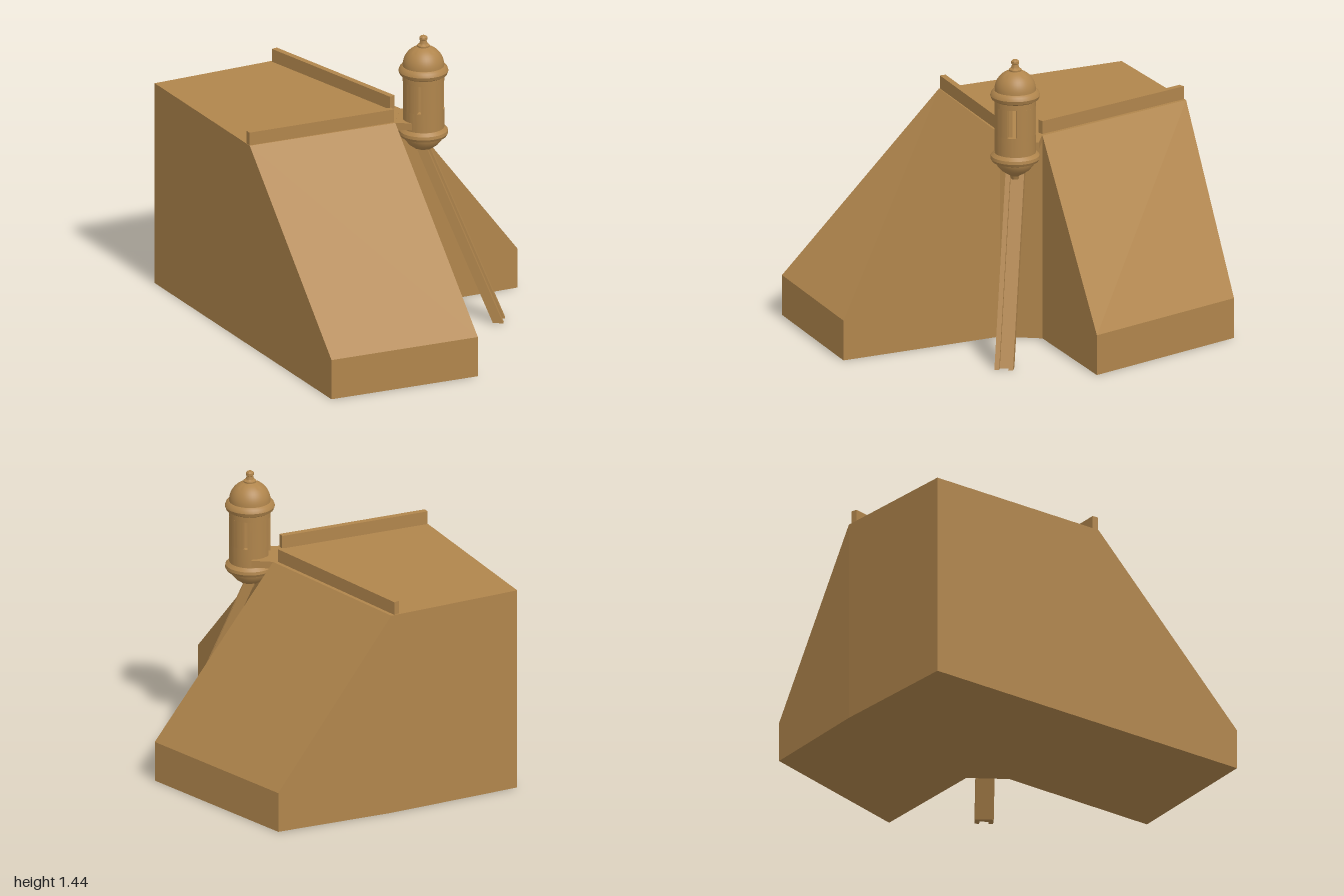
import * as THREE from 'three';
import { toCreasedNormals } from 'three/addons/utils/BufferGeometryUtils.js';

const TOP = 1.02, LOW = 0.2;
const stone = new THREE.MeshStandardMaterial({ color: 0xb0854c });
stone.name = 'sandstone';

function add(parent, name, geometry) {
  const mesh = new THREE.Mesh(geometry, stone);
  mesh.name = name;
  parent.add(mesh);
  return mesh;
}

// Plan corners: [x, z, wall height]
const plan = {
  A: [-1, 0.34, TOP], B: [-0.07, 0.625, TOP], C: [0.73, 0.87, LOW],
  D: [1, 0.15, LOW], E: [0.2, -0.09, TOP], F: [0.07, -0.25, TOP],
  G: [0.27, -0.845, LOW], H: [-0.605, -0.87, LOW], I: [-0.81, -0.315, TOP],
};

// Closed body: vertical walls around the plan, flat roof, two sloping roofs and a base
function bastionGeometry() {
  const pos = [];
  const hi = (k) => [plan[k][0], plan[k][2], plan[k][1]];
  const lo = (k) => [plan[k][0], 0, plan[k][1]];
  const fan = (pts) => {
    for (let i = 1; i < pts.length - 1; i++) pos.push(...pts[0], ...pts[i], ...pts[i + 1]);
  };
  const loop = [...'ABCDEFGHI'];
  loop.forEach((p, i) => {
    const q = loop[(i + 1) % loop.length];
    fan([lo(p), lo(q), hi(q), hi(p)]);
  });
  for (const face of ['ABEFI', 'BCDE', 'IFGH']) {
    fan([...face].map(hi));
    fan([...face].reverse().map(lo));
  }
  const g = new THREE.BufferGeometry();
  g.setAttribute('position', new THREE.Float32BufferAttribute(pos, 3));
  g.computeVertexNormals();
  return g;
}

// Low wall from p to q, set in from the roof edge on its left side
function parapet(parent, name, p, q, inset, width = 0.03) {
  const dx = q[0] - p[0], dz = q[1] - p[1], len = Math.hypot(dx, dz);
  const off = (inset + width / 2) / len;
  const wall = add(parent, name, new THREE.BoxGeometry(len, 0.065, width));
  wall.position.set((p[0] + q[0]) / 2 + dz * off, TOP + 0.0325, (p[1] + q[1]) / 2 - dx * off);
  wall.rotation.y = Math.atan2(-dz, dx);
}

// Curved piece of the turret wall between two angles
function wallArc(a0, a1, y0, y1) {
  const s = new THREE.Shape();
  s.absarc(0, 0, 0.1, a0, a1, false);
  s.absarc(0, 0, 0.078, a1, a0, true);
  const g = new THREE.ExtrudeGeometry(s, { depth: y1 - y0, bevelEnabled: false, curveSegments: 14 });
  g.rotateX(-Math.PI / 2).translate(0, y0, 0);
  return toCreasedNormals(g, 0.6);
}

function lathe(points) {
  const g = new THREE.LatheGeometry(points.map(([r, y]) => new THREE.Vector2(r, y)), 40);
  return toCreasedNormals(g, 0.6);
}

function buildTurret() {
  const turret = new THREE.Group();
  turret.name = 'turret';
  turret.position.set(0.24, 0, -0.24);

  // Corbelled base with its floor
  add(turret, 'turretBase', lathe([
    [0, 0.84], [0.02, 0.84], [0.026, 0.858], [0.045, 0.87], [0.07, 0.888], [0.088, 0.91],
    [0.092, 0.925], [0.112, 0.932], [0.119, 0.945], [0.117, 0.96], [0.102, 0.975], [0, 0.975]]));

  // Openings: wide window, slit, doorway, slit
  const openings = [[37, 0.23], [123, 0.1], [217, 0.33], [303, 0.1]]
    .map(([deg, half]) => ({ at: THREE.MathUtils.degToRad(deg), half }));
  openings.forEach((o, i) => {
    const n = openings[(i + 1) % 4];
    const end = n.at + (i === 3 ? Math.PI * 2 : 0);
    add(turret, 'turretWallPier', wallArc(o.at + o.half, end - n.half, 1.07, 1.21));
  });
  const door = openings[2];
  const doorEdge = door.at + door.half, doorEnd = door.at - door.half + Math.PI * 2;
  const doorMid = (doorEdge + doorEnd) / 2;
  add(turret, 'turretLowerWall', wallArc(doorEdge, doorMid, 0.97, 1.07));
  add(turret, 'turretLowerWall', wallArc(doorMid, doorEnd, 0.97, 1.07));
  for (const a of [0, Math.PI]) add(turret, 'turretUpperWall', wallArc(a, a + Math.PI, 1.21, 1.245));

  // Cornice, dome and finial
  const dome = [];
  for (let i = 0; i <= 10; i++) {
    const t = (i / 10) * 1.27;
    dome.push([0.1 * Math.cos(t), 1.287 + 0.1 * Math.sin(t)]);
  }
  add(turret, 'turretRoof', lathe([
    [0, 1.238], [0.102, 1.238], [0.114, 1.245], [0.12, 1.262], [0.114, 1.278], [0.102, 1.287],
    ...dome, [0.03, 1.39], [0.02, 1.398], [0.015, 1.415], [0.019, 1.418], [0.019, 1.43],
    [0.012, 1.437], [0, 1.437]]));
  return turret;
}

// Channel-section rib leaning from the turret base down to the ground
function ribGeometry() {
  const s = new THREE.Shape([
    [-0.045, -0.02], [0.045, -0.02], [0.045, 0.03], [0.022, 0.03],
    [0.022, 0.005], [-0.022, 0.005], [-0.022, 0.03], [-0.045, 0.03],
  ].map(([x, y]) => new THREE.Vector2(x, y)));
  const g = new THREE.ExtrudeGeometry(s, { depth: 1, bevelEnabled: false });
  const m = new THREE.Matrix4().makeBasis(
    new THREE.Vector3(-0.63, 0, -0.777),
    new THREE.Vector3(0.777, 0, -0.63),
    new THREE.Vector3(0.295, -0.9, -0.235));
  m.setPosition(0.225, 0.9, -0.23);
  g.applyMatrix4(m);
  g.computeVertexNormals();
  return g;
}

export function createModel() {
  const model = new THREE.Group();
  model.name = 'bastionWithTurret';

  add(model, 'bastionBody', bastionGeometry());
  parapet(model, 'frontParapet', [-0.07, 0.625], [0.192, -0.09], 0.004);
  parapet(model, 'backParapet', [0.055, -0.25], [-0.81, -0.315], 0.018);

  // Short slab joining the roof to the turret
  const neck = add(model, 'turretWalkway', new THREE.BoxGeometry(0.12, 0.035, 0.2));
  neck.position.set(0.17, TOP - 0.0185, -0.198);
  neck.rotation.y = Math.atan2(0.63, 0.777);

  add(model, 'supportRib', ribGeometry());
  model.add(buildTurret());
  return model;
}
